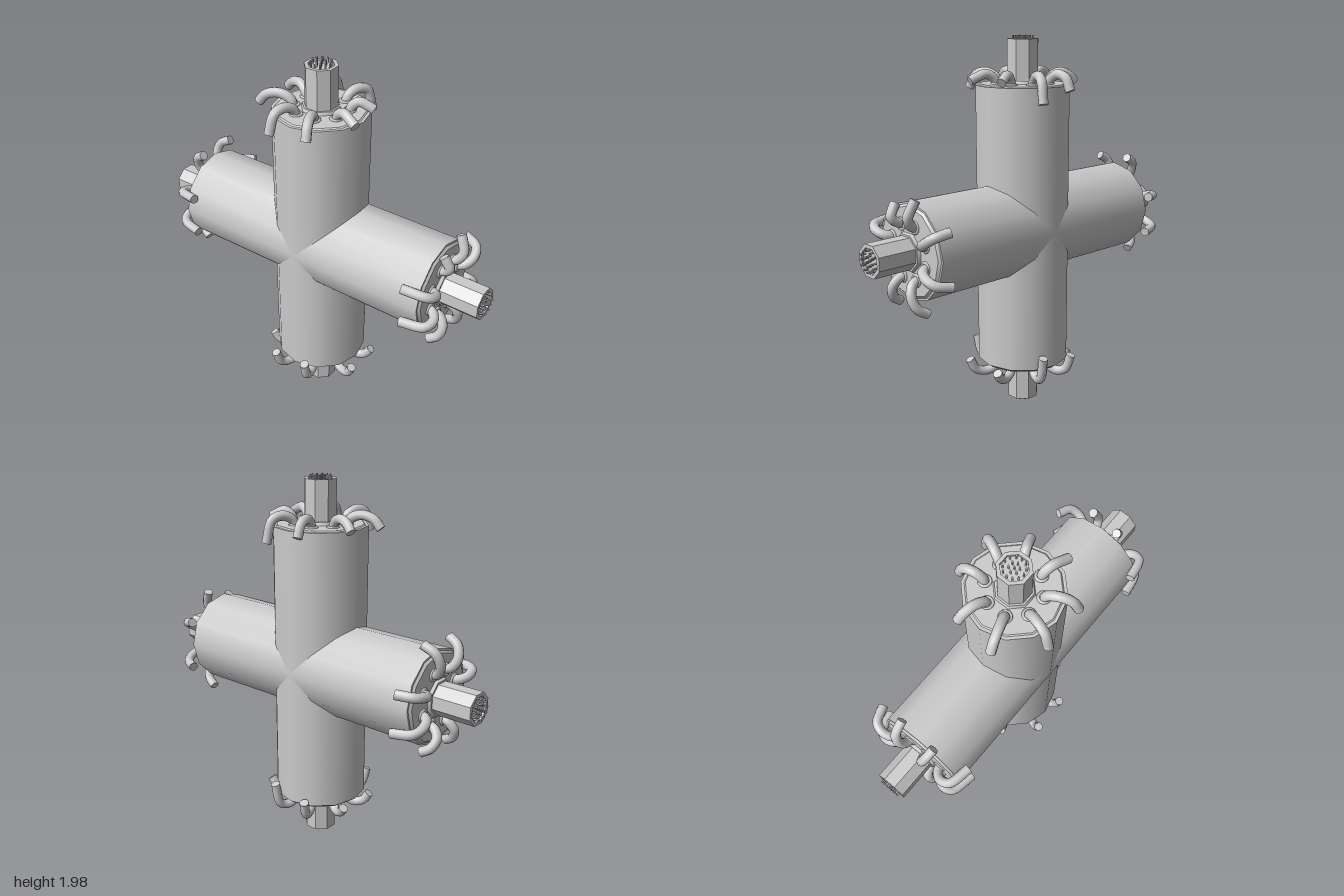
import * as THREE from 'three';

const material = new THREE.MeshStandardMaterial({ color: 0xcccccc });
const ARM = 0.247, CAP = 0.74, TIP = 0.975;

function add(parent, name, geometry, x = 0, y = 0, z = 0) {
  const mesh = new THREE.Mesh(geometry, material);
  mesh.name = name;
  mesh.position.set(x, y, z);
  parent.add(mesh);
  return mesh;
}

// Hose tips of each arm end: [across, depth, height along the arm]
const tips = {
  top: [[-0.08, -0.26, 0.72], [0.12, -0.27, 0.67], [0.24, -0.1, 0.77], [0.27, 0.1, 0.77],
    [0.12, 0.28, 0.72], [-0.1, 0.28, 0.69], [-0.3, 0.11, 0.74], [-0.28, -0.1, 0.75]],
  right: [[-0.27, -0.09, 0.77], [-0.14, -0.27, 0.71], [0.12, -0.28, 0.71], [0.29, -0.11, 0.73],
    [0.27, 0.1, 0.74], [0.09, 0.26, 0.66], [-0.11, 0.26, 0.66], [-0.23, 0.07, 0.77]],
  left: [[0.28, 0.1, 0.73], [0.1, 0.26, 0.67], [-0.11, 0.26, 0.66], [-0.26, 0.1, 0.74],
    [-0.25, -0.12, 0.74], [-0.11, -0.29, 0.68], [0.09, -0.29, 0.7], [0.29, -0.11, 0.72]],
  bottom: [[0.26, 0.11, 0.74], [0.11, 0.28, 0.7], [-0.09, 0.28, 0.68], [-0.29, 0.11, 0.72],
    [-0.28, -0.1, 0.74], [-0.1, -0.26, 0.66], [0.11, -0.26, 0.7], [0.25, -0.1, 0.75]],
};

// Hose rising from the cap, arching outwards and falling over the rim
function addHose(parent, [u, v, h]) {
  const angle = Math.atan2(v, u), reach = Math.hypot(u, v);
  const base = Math.round((angle - Math.PI / 8) / (Math.PI / 4)) * Math.PI / 4 + Math.PI / 8;
  const at = (r, y, t) => {
    const a = base + (angle - base) * t;
    return new THREE.Vector3(r * Math.cos(a), y, r * Math.sin(a));
  };
  const r0 = 0.14;
  const curve = new THREE.CatmullRomCurve3([
    at(r0, CAP - 0.01, 0),
    at(r0 + 0.012, 0.775, 0.1),
    at(r0 + (reach - r0) * 0.4, 0.802, 0.4),
    at(r0 + (reach - r0) * 0.78, 0.785, 0.8),
    at(reach, h, 1),
  ]);
  add(parent, 'hose', new THREE.TubeGeometry(curve, 16, 0.025, 10));
  const p = curve.getPoint(1), end = add(parent, 'hoseEnd', new THREE.CircleGeometry(0.025, 10), p.x, p.y, p.z);
  end.quaternion.setFromUnitVectors(new THREE.Vector3(0, 0, 1), curve.getTangent(1));
  const foot = at(r0, CAP + 0.012, 0);
  const collar = add(parent, 'hoseCollar', new THREE.TorusGeometry(0.027, 0.008, 6, 12), foot.x, foot.y, foot.z);
  collar.rotation.x = Math.PI / 2;
}

// Everything on the end of one arm, built along +y
function buildEnd(name) {
  const end = new THREE.Group();
  end.name = name + 'End';

  // Slightly raised cap with a bevelled rim
  add(end, 'cap', new THREE.CylinderGeometry(0.225, 0.24, 0.014, 12), 0, CAP + 0.004, 0);

  // Octagonal nozzle with a collar and a recessed face
  const profile = [[0.085, CAP], [0.085, TIP], [0.066, TIP], [0.066, TIP - 0.012], [0, TIP - 0.012]];
  const nozzle = new THREE.LatheGeometry(profile.map(p => new THREE.Vector2(...p)), 8)
    .rotateY(Math.PI / 8).toNonIndexed();
  nozzle.computeVertexNormals();
  add(end, 'nozzle', nozzle);
  add(end, 'nozzleCollar', new THREE.CylinderGeometry(0.095, 0.105, 0.025, 8).rotateY(Math.PI / 8), 0, CAP + 0.015, 0);

  // Contact pins in rings
  const pin = new THREE.CylinderGeometry(0.0045, 0.0045, 0.034, 6);
  for (const [count, radius] of [[1, 0], [6, 0.025], [12, 0.052]]) {
    for (let i = 0; i < count; i++) {
      const a = (i / count) * Math.PI * 2;
      add(end, 'pin', pin, radius * Math.cos(a), TIP - 0.001, radius * Math.sin(a));
    }
  }

  for (const tip of tips[name]) addHose(end, tip);
  return end;
}

export function createModel() {
  const model = new THREE.Group();
  model.name = 'crossConnector';
  const body = new THREE.Group();
  body.name = 'body';
  body.position.y = 1;
  model.add(body);

  // Two crossing barrels
  const barrel = new THREE.CylinderGeometry(ARM, ARM, CAP * 2, 12);
  add(body, 'uprightBarrel', barrel, 0, 0.005, 0);
  add(body, 'crossBarrel', barrel).rotation.z = Math.PI / 2;

  // The four ends
  const turns = { top: 0, left: Math.PI / 2, bottom: Math.PI, right: -Math.PI / 2 };
  for (const [name, turn] of Object.entries(turns)) {
    const end = buildEnd(name);
    end.rotation.z = turn;
    body.add(end);
  }
  return model;
}
